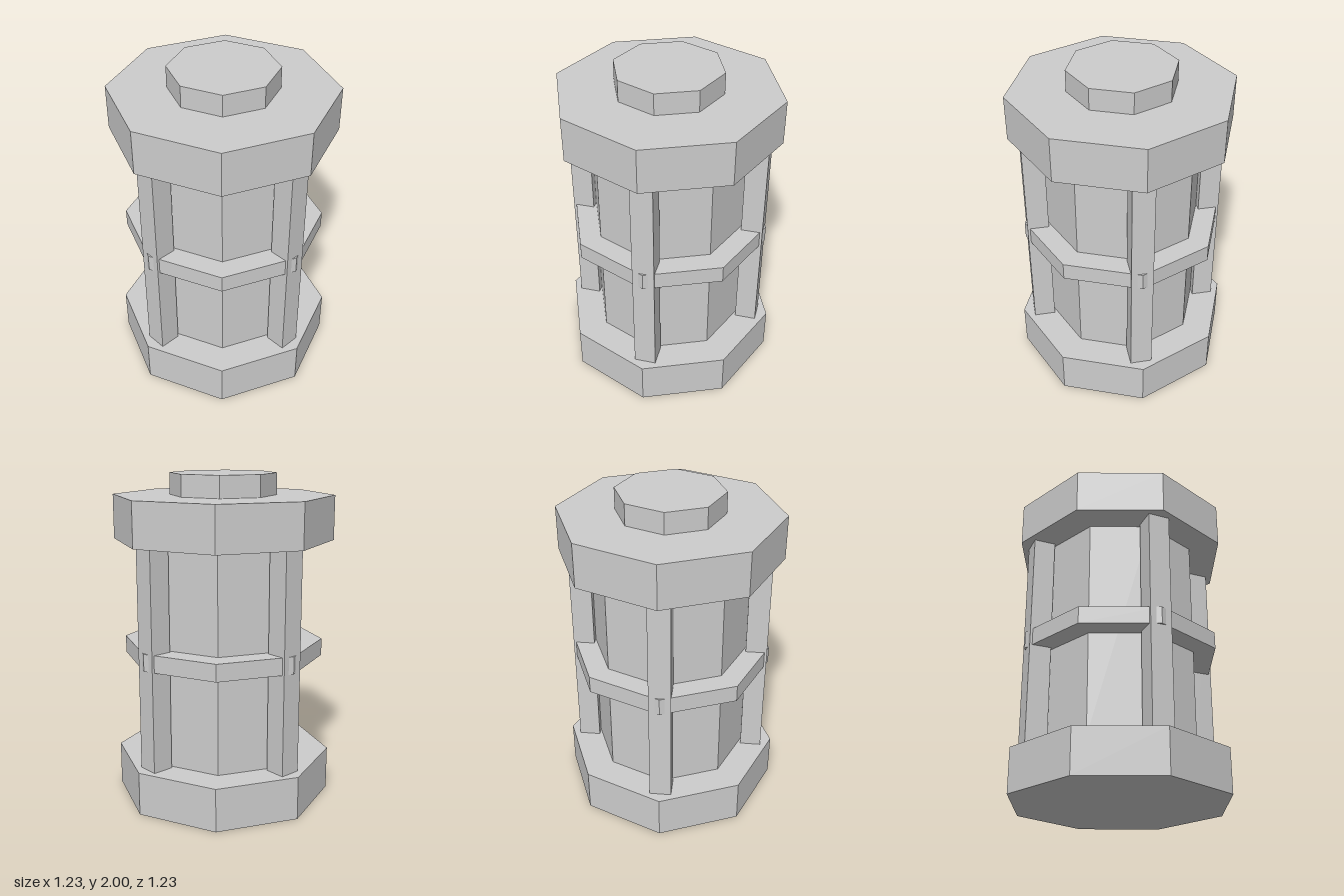
import * as THREE from 'three';

export function createModel() {
  const model = new THREE.Group();
  const grey = new THREE.MeshStandardMaterial({ color: 0xcccccc, flatShading: true });
  grey.name = 'light grey';

  // Upright octagonal prism with a flat side to the front, given its corner radius
  const octagon = (name, radius, bottom, top) => {
    const geometry = new THREE.CylinderGeometry(radius, radius, top - bottom, 8);
    geometry.rotateY(Math.PI / 8);
    const mesh = new THREE.Mesh(geometry, grey);
    mesh.name = name;
    mesh.position.y = (bottom + top) / 2;
    model.add(mesh);
  };

  octagon('baseCap', 0.667, 0, 0.267);
  octagon('body', 0.475, 0.267, 1.603);
  octagon('middleBand', 0.612, 0.885, 0.99);
  octagon('topCap', 0.667, 1.603, 1.87);
  octagon('topKnob', 0.321, 1.87, 2);

  // Square posts standing against every second corner of the body
  const postSize = 0.13, postRadius = 0.535, postBottom = 0.267, postTop = 1.603;
  const postGeometry = new THREE.BoxGeometry(postSize, postTop - postBottom, postSize);
  for (let i = 0; i < 4; i++) {
    const angle = -Math.PI / 8 + i * Math.PI / 2;
    const post = new THREE.Mesh(postGeometry, grey);
    post.name = `post${i + 1}`;
    post.position.set(Math.sin(angle) * postRadius, (postBottom + postTop) / 2, Math.cos(angle) * postRadius);
    post.rotation.y = angle;
    model.add(post);
  }

  return model;
}
